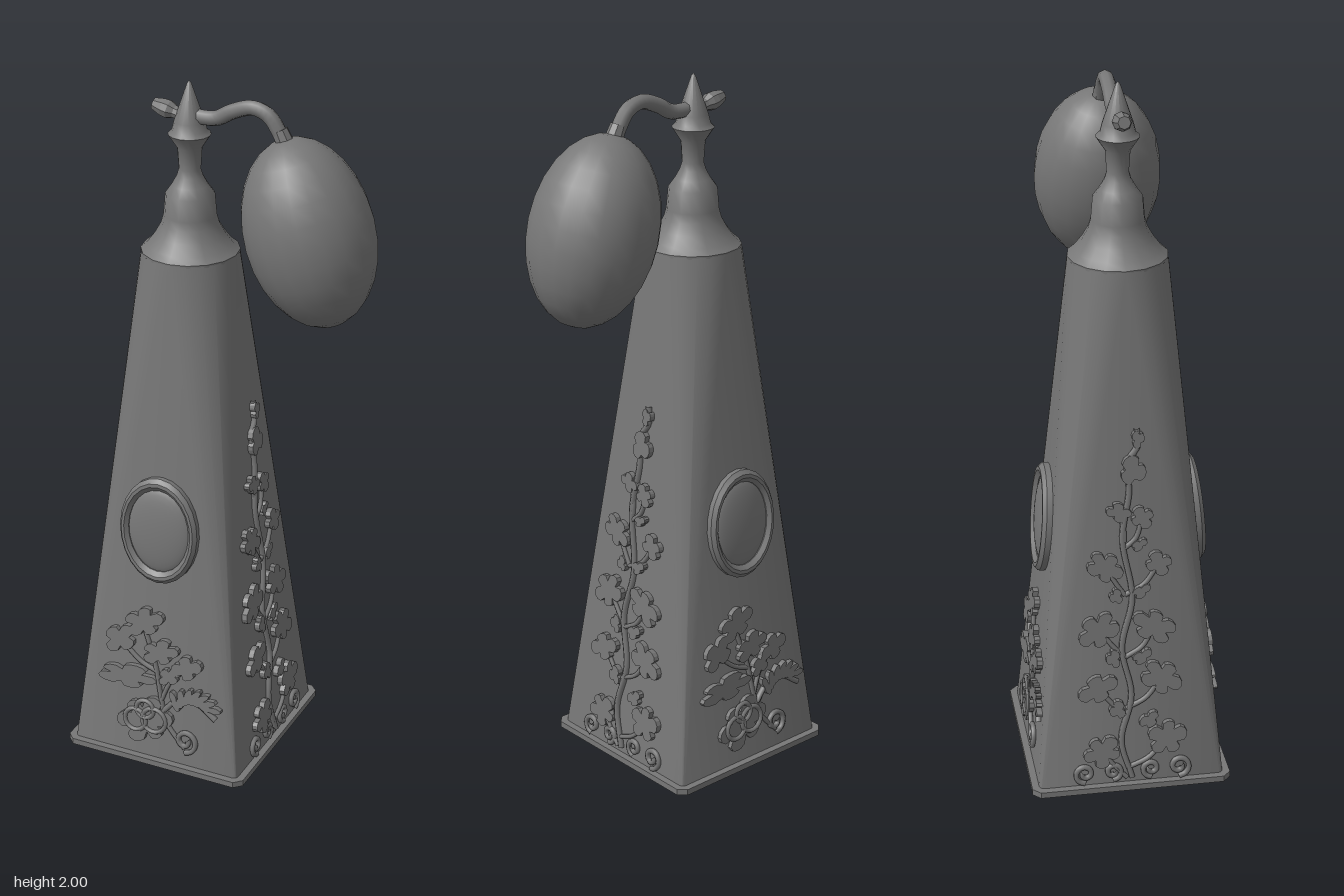
import * as THREE from 'three';
import { toCreasedNormals } from 'three/addons/utils/BufferGeometryUtils.js';

const AXIS = -0.127;            // x of the bottle's centre line
const FOOT = 0.265, TOP = 0.137, Y0 = 0.015, Y1 = 1.522;
const LEAN = Math.atan((FOOT - TOP) / (Y1 - Y0));

const color = 0x777777;         // dark pewter grey
const mat = new THREE.MeshStandardMaterial({ color });
const flatMat = new THREE.MeshStandardMaterial({ color, flatShading: true });

function add(parent, name, geometry, material = mat) {
  const mesh = new THREE.Mesh(geometry, material);
  mesh.name = name;
  parent.add(mesh);
  return mesh;
}

const v2 = (pts) => pts.map(([x, y]) => new THREE.Vector2(x, y));
const v3 = (pts, z = 0) => pts.map(([x, y]) => new THREE.Vector3(x, y, z));

// Square foot that turns into a round shoulder: flat faces with conical corners
function bodyGeometry() {
  const seg = 5, r = 0.015, bottom = [], top = [];
  for (let q = 0; q < 4; q++) {
    const mid = (q + 0.5) * Math.PI / 2, c = (FOOT - r) * Math.SQRT2;
    for (let k = 0; k <= seg; k++) {
      const a = (q + k / seg) * Math.PI / 2;
      bottom.push([c * Math.cos(mid) + r * Math.cos(a), Y0, c * Math.sin(mid) + r * Math.sin(a)]);
      top.push([TOP * Math.cos(a), Y1, TOP * Math.sin(a)]);
    }
  }
  const n = bottom.length, index = [];
  for (let i = 0; i < n; i++) {
    const j = (i + 1) % n;
    index.push(i, n + i, j);
    if (i % (seg + 1) !== seg) index.push(j, n + i, n + j);
  }
  const g = new THREE.BufferGeometry();
  g.setAttribute('position', new THREE.Float32BufferAttribute([...bottom, ...top].flat(), 3));
  g.setIndex(index);
  return toCreasedNormals(g, 0.5);
}

// Flat relief piece with slightly uneven rounded lobes
function lobed(parent, name, x, y, r, lobes = 5, turn = 0, squash = 1, depth = 0.016) {
  const pts = [], n = lobes * 6;
  for (let i = 0; i < n; i++) {
    const a = i / n * Math.PI * 2;
    const d = r * (0.55 + 0.45 * Math.sqrt(Math.abs(Math.cos(a * lobes / 2))))
      * (1 + 0.14 * Math.sin(2 * a + turn * 3));
    pts.push([d * Math.cos(a), d * Math.sin(a) * squash]);
  }
  const g = new THREE.ExtrudeGeometry(new THREE.Shape(v2(pts)), {
    depth: depth + 0.004, bevelEnabled: false });
  const m = add(parent, name, g, flatMat);
  m.position.set(x, y, -0.004);
  m.rotation.z = turn;
}

function stem(parent, name, pts, r = 0.007, n = 30) {
  const path = new THREE.CatmullRomCurve3(v3(pts, 0.006));
  add(parent, name, new THREE.TubeGeometry(path, n, r, 6));
}

// Curled tendril
function scroll(parent, x, y, r, dir = 1) {
  const pts = [];
  for (let i = 0; i <= 14; i++) {
    const a = -Math.PI / 2 + i * 0.6, d = r * (1 - i / 18);
    pts.push([x + dir * d * Math.cos(a), y + d * Math.sin(a)]);
  }
  stem(parent, 'scroll', pts, 0.008, 36);
}

// Frame lying on one sloping face: x across, y up the face, z outward
function facePanel(root, name, angle) {
  const turn = new THREE.Group(), panel = new THREE.Group();
  turn.name = name;
  turn.rotation.y = angle;
  panel.position.set(0, Y0, FOOT);
  panel.rotation.x = -LEAN;
  turn.add(panel);
  root.add(turn);
  return panel;
}

function medallion(panel) {
  const g = new THREE.Group();
  g.name = 'medallion';
  g.position.set(0, 0.735, 0.004);
  panel.add(g);
  // Oval rim
  const rim = new THREE.LatheGeometry(v2([[0.121, -0.01], [0.121, 0.012], [0.112, 0.023],
    [0.104, 0.023], [0.094, 0.012], [0.094, -0.01]]), 24);
  rim.rotateX(Math.PI / 2).scale(1, 1.32, 1);
  add(g, 'medallionRim', toCreasedNormals(rim, 0.6));
  // Domed oval
  const dome = new THREE.SphereGeometry(1, 28, 8, 0, Math.PI * 2, 0, Math.PI / 2);
  dome.rotateX(Math.PI / 2).scale(0.1, 0.132, 0.026);
  add(g, 'medallionDome', dome);
}

function bouquet(panel) {
  const g = new THREE.Group();
  g.name = 'bouquet';
  panel.add(g);
  // Blossoms and leaves
  for (const [x, y, r, n, t, s] of [
    [-0.04, 0.44, 0.06, 5, 0.4, 0.8], [-0.115, 0.37, 0.055, 4, 1, 0.8],
    [0.015, 0.355, 0.056, 5, 0.2, 0.75], [0.1, 0.325, 0.046, 4, 0.3, 0.9],
    [-0.09, 0.255, 0.095, 5, 0, 0.4], [0.045, 0.285, 0.036, 4, 0.9, 0.8]])
    lobed(g, 'blossom', x, y, r, n, t, s);
  // Large open flower with rolled petals
  lobed(g, 'rose', -0.03, 0.125, 0.086, 6, 0.2, 0.9, 0.013);
  for (const [x, y, r] of [[-0.06, 0.12, 0.034], [0.0, 0.13, 0.038], [-0.03, 0.16, 0.028]]) {
    const petal = add(g, 'rosePetal', new THREE.TorusGeometry(r, 0.007, 6, 18));
    petal.position.set(x, y, 0.013);
  }
  // Feathered leaf arching to the right
  stem(g, 'leafRib', [[0.03, 0.17], [0.07, 0.21], [0.13, 0.22], [0.195, 0.18]], 0.009);
  for (let i = 0; i < 7; i++) {
    const t = i / 6;
    lobed(g, 'leafBlade', 0.065 + 0.115 * t, 0.21 + 0.035 * Math.sin(t * 2.6) - 0.015 * t,
      0.034, 2, 1.9 - 2 * t, 0.4);
  }
  // Stalks
  for (const pts of [[[-0.04, 0.42], [0, 0.3], [0.02, 0.2], [0.04, 0.13], [0.1, 0.06]],
    [[-0.11, 0.36], [-0.05, 0.31], [0, 0.29]], [[0.1, 0.32], [0.05, 0.27], [0.02, 0.2]]])
    stem(g, 'stalk', pts);
  scroll(g, 0.1, 0.085, 0.038);
}

function vine(panel) {
  const g = new THREE.Group();
  g.name = 'vine';
  panel.add(g);
  // Winding main stem
  stem(g, 'vineStem', [[0, 0.02], [-0.03, 0.14], [0.0, 0.28], [-0.025, 0.43], [0.005, 0.58],
    [-0.02, 0.76], [0, 0.9], [-0.005, 0.98], [0.025, 1.03], [0.022, 1.08]], 0.009, 60);
  // Leaves on side shoots
  for (const [x, y, r, n] of [
    [-0.085, 0.11, 0.056, 5], [0.1, 0.14, 0.06, 5], [0.085, 0.33, 0.06, 5],
    [-0.095, 0.31, 0.053, 4], [-0.09, 0.49, 0.06, 5], [0.065, 0.49, 0.06, 5],
    [-0.07, 0.68, 0.052, 5], [0.08, 0.68, 0.04, 4], [0.035, 0.82, 0.036, 4],
    [-0.03, 0.84, 0.034, 4], [0.01, 0.96, 0.044, 3], [0.025, 1.05, 0.024, 3]]) {
    lobed(g, 'vineLeaf', x, y, r, n, x * 9 + y * 4, 0.85);
    if (y < 0.9) stem(g, 'shoot', [[-0.015, y - 0.09], [x * 0.5, y - 0.06], [x, y]], 0.007, 12);
  }
  for (const [x, y, r] of [[0.05, 0.2, 0.03], [-0.04, 0.24, 0.03], [0.03, 0.4, 0.028],
    [-0.05, 0.4, 0.028], [0.03, 0.6, 0.026], [-0.04, 0.59, 0.024], [0.025, 0.74, 0.022]])
    lobed(g, 'bud', x, y, r, 3, x * 20, 0.8);
  // Curls along the foot
  for (const [x, r, d] of [[-0.135, 0.03, -1], [-0.055, 0.027, 1], [0.055, 0.027, -1], [0.135, 0.033, 1]])
    scroll(g, x, 0.042, r, d);
}

export function createModel() {
  const model = new THREE.Group();
  model.name = 'perfumeAtomizer';
  const bottle = new THREE.Group();
  bottle.name = 'bottle';
  bottle.position.x = AXIS;
  model.add(bottle);

  // Foot plate with clipped corners
  const h = 0.285, c = h - 0.022;
  const plate = new THREE.ExtrudeGeometry(new THREE.Shape(v2([[h, -c], [h, c], [c, h], [-c, h],
    [-h, c], [-h, -c], [-c, -h], [c, -h]])), { depth: 0.018, bevelEnabled: false });
  add(bottle, 'footPlate', plate.rotateX(-Math.PI / 2), flatMat);
  add(bottle, 'body', bodyGeometry());

  // Shoulder, neck and pointed finial
  const collar = new THREE.LatheGeometry(v2([[TOP, 1.518], [TOP, 1.526], [0.118, 1.542], [0.097, 1.57],
    [0.08, 1.6], [0.073, 1.625], [0.068, 1.685], [0.05, 1.71], [0.036, 1.735], [0.03, 1.755],
    [0.034, 1.815], [0.059, 1.853], [0.048, 1.864], [0.042, 1.888], [0.006, 1.993], [0, 2]]), 16);
  add(bottle, 'neck', toCreasedNormals(collar, 0.8));

  // Spray nozzle
  const nozzle = add(bottle, 'nozzle', new THREE.LatheGeometry(v2([[0.018, 0], [0.018, 0.045],
    [0.026, 0.062], [0.025, 0.08], [0.017, 0.108], [0, 0.108]]), 8), flatMat);
  nozzle.position.set(0, 1.897, 0);
  nozzle.rotation.z = Math.PI / 2 - 0.23;

  // Hose to the bulb
  const hose = new THREE.CatmullRomCurve3(v3([[-0.127, 1.905], [-0.05, 1.906], [0, 1.932],
    [0.06, 1.95], [0.105, 1.935], [0.135, 1.895], [0.155, 1.855]]));
  add(model, 'hose', new THREE.TubeGeometry(hose, 24, 0.021, 8));
  const ferrule = add(model, 'hoseFerrule', new THREE.CylinderGeometry(0.022, 0.026, 0.05, 8), flatMat);
  ferrule.position.set(0.148, 1.878, 0);
  ferrule.rotation.z = 0.45;

  // Squeeze bulb
  const bulb = add(model, 'bulb', new THREE.SphereGeometry(1, 20, 14).scale(0.177, 0.263, 0.177));
  bulb.position.set(0.226, 1.628, 0);
  bulb.rotation.z = 0.29;

  // Relief ornament on the four faces
  for (const [name, angle] of [['frontFace', 0], ['backFace', Math.PI]]) {
    const panel = facePanel(bottle, name, angle);
    medallion(panel);
    bouquet(panel);
  }
  for (const [name, angle] of [['leftFace', Math.PI / 2], ['rightFace', -Math.PI / 2]])
    vine(facePanel(bottle, name, angle));
  return model;
}
